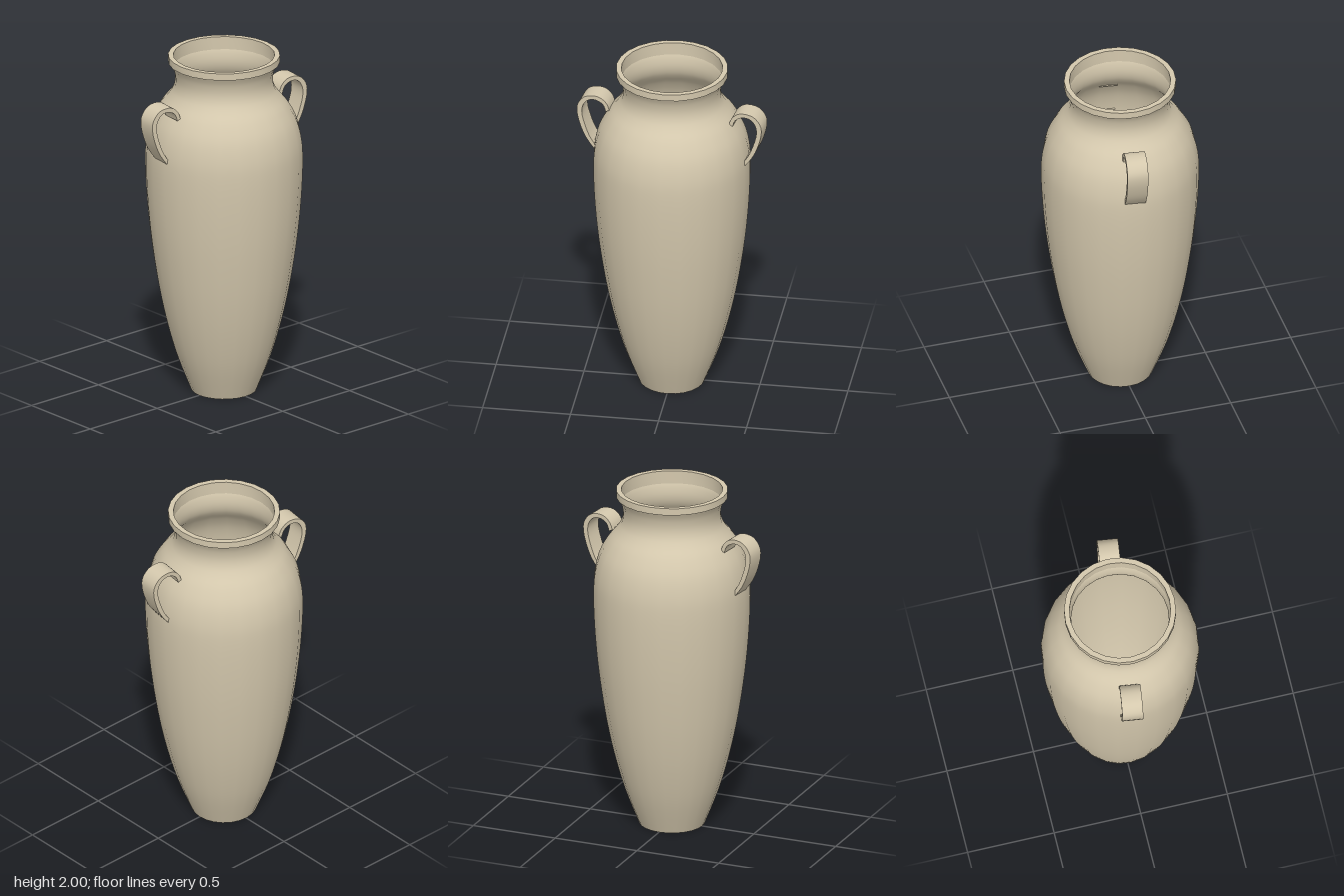
import * as THREE from 'three';
import { toCreasedNormals } from 'three/addons/utils/BufferGeometryUtils.js';

const SIDES = 24;
const clay = new THREE.MeshStandardMaterial({ color: 0xd4c8ad, side: THREE.DoubleSide });
const grey = new THREE.MeshStandardMaterial({ color: 0xcccccc, side: THREE.DoubleSide });
const points = (list) => list.map(([x, y]) => new THREE.Vector2(x, y));

function part(name, geometry, material = clay) {
  const mesh = new THREE.Mesh(geometry, material);
  mesh.name = name;
  return mesh;
}

// Flat strap: outer and inner curves closed into a loop, extruded across its width
function strapGeometry(width) {
  const outer = new THREE.SplineCurve(points([
    [0.345, 1.71], [0.36, 1.75], [0.395, 1.782], [0.44, 1.79], [0.492, 1.775],
    [0.53, 1.725], [0.532, 1.66], [0.51, 1.58], [0.48, 1.515], [0.435, 1.453],
  ])).getPoints(28);
  const inner = new THREE.SplineCurve(points([
    [0.43, 1.48], [0.46, 1.528], [0.485, 1.59], [0.504, 1.66], [0.502, 1.712],
    [0.478, 1.752], [0.44, 1.766], [0.402, 1.757], [0.378, 1.735], [0.366, 1.70],
  ])).getPoints(28);
  const geometry = new THREE.ExtrudeGeometry(new THREE.Shape([...outer, ...inner]), {
    depth: width, bevelEnabled: false,
  });
  geometry.translate(0, 0, -width / 2 - 0.017);
  return toCreasedNormals(geometry, 0.7);
}

export function createModel() {
  const vase = new THREE.Group();
  vase.name = 'vase';

  // Thin wall from the foot through the shoulder to the flared neck
  const profile = new THREE.SplineCurve(points([
    [0.185, 0], [0.262, 0.2], [0.32, 0.4], [0.364, 0.6], [0.397, 0.8], [0.422, 1.0],
    [0.438, 1.2], [0.444, 1.38], [0.437, 1.5], [0.41, 1.61], [0.362, 1.7],
    [0.31, 1.765], [0.284, 1.81], [0.275, 1.86], [0.283, 1.915], [0.303, 1.96],
  ]));
  vase.add(part('body', new THREE.LatheGeometry(profile.getPoints(60), SIDES)));

  // Square-edged band around the mouth
  const rim = new THREE.LatheGeometry(points([
    [0.303, 1.96], [0.315, 1.96], [0.315, 2], [0.285, 2], [0.285, 1.925],
  ]), SIDES);
  vase.add(part('rim', toCreasedNormals(rim, 0.7)));

  // Open ring under the foot
  const foot = new THREE.RingGeometry(0.14, 0.185, SIDES);
  foot.rotateX(Math.PI / 2);
  vase.add(part('footRing', foot, grey));

  // Two handles, half a turn apart and slightly skewed
  const strap = strapGeometry(0.118);
  ['leftHandle', 'rightHandle'].forEach((name, i) => {
    const handle = part(name, strap);
    handle.rotation.y = -0.13 + i * Math.PI;
    vase.add(handle);
  });

  return vase;
}
